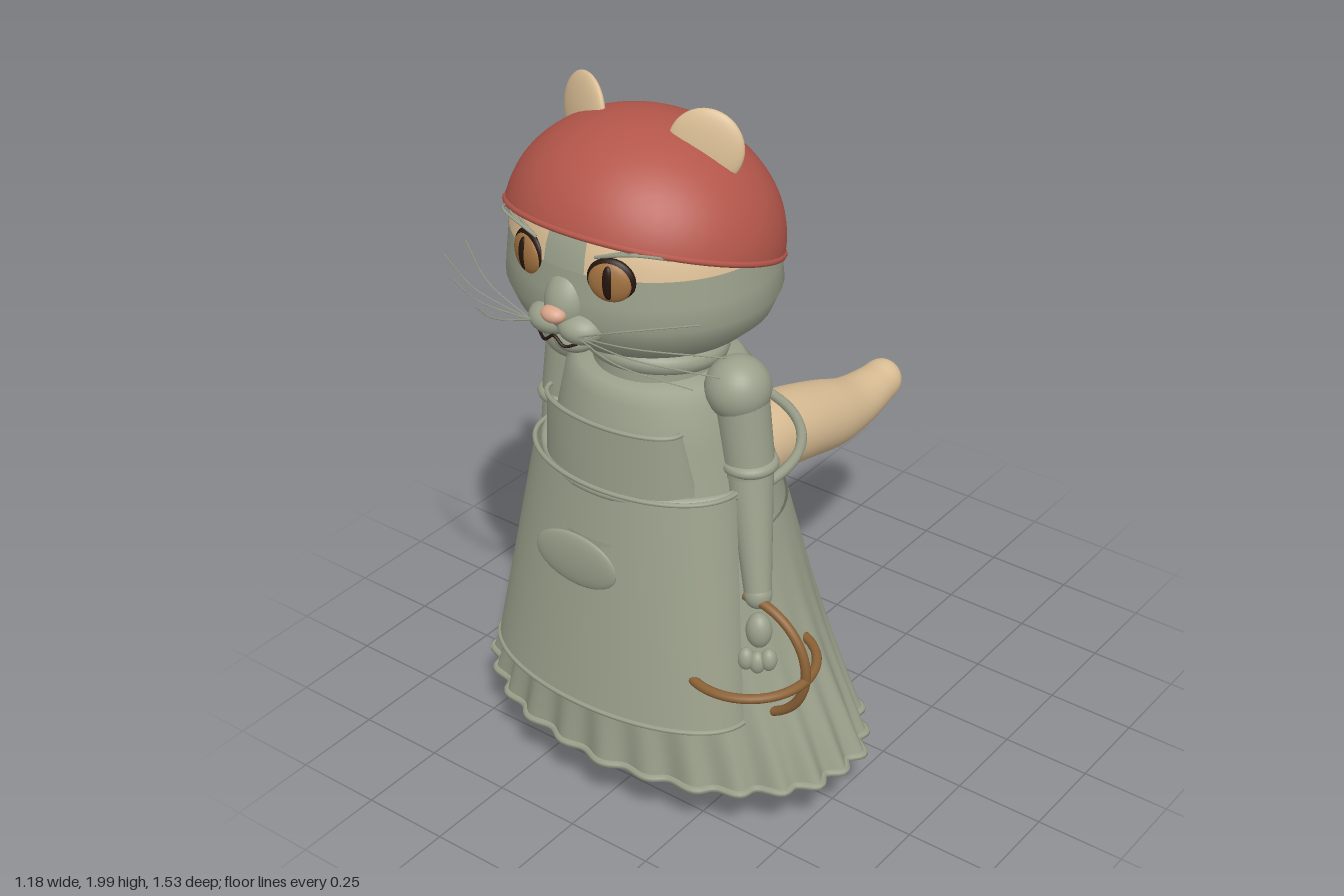
import * as THREE from 'three';
import { ParametricGeometry } from 'three/addons/geometries/ParametricGeometry.js';

const mat = (name, color, side = THREE.FrontSide) => {
  const m = new THREE.MeshStandardMaterial({ color, side });
  m.name = name;
  return m;
};
const V = (x, y, z) => new THREE.Vector3(x, y, z);

export function createModel() {
  const root = new THREE.Group();
  root.name = 'catInApron';
  const grey = mat('sageGrey', 0x9ba08b, THREE.DoubleSide);
  const tan = mat('tanFur', 0xd9bd94, THREE.DoubleSide);
  const red = mat('redCloth', 0xb4564a, THREE.DoubleSide);
  const brown = mat('wickerBrown', 0x8c6236, THREE.DoubleSide);
  const amber = mat('amberIris', 0xa0713f);
  const dark = mat('darkPupil', 0x24140e);
  const pink = mat('pinkNose', 0xd8a48a);

  const add = (name, geo, material, pos = [0, 0, 0], scale = [1, 1, 1], rot = [0, 0, 0]) => {
    const m = new THREE.Mesh(geo, material);
    m.name = name;
    m.position.set(...pos);
    m.scale.set(...scale);
    m.rotation.set(...rot);
    root.add(m);
    return m;
  };
  const ballGeo = new THREE.SphereGeometry(1, 32, 20);
  const ball = (name, material, pos, radii, rot) => add(name, ballGeo, material, pos, radii, rot);
  const tube = (name, material, pts, r, closed = false, seg = 32, sides = 8) =>
    add(name, new THREE.TubeGeometry(new THREE.CatmullRomCurve3(pts, closed), seg, r, sides, closed), material);
  // Tapered limb between two points
  const limb = (name, material, a, b, ra, rb) => {
    const m = add(name, new THREE.CylinderGeometry(rb, ra, a.distanceTo(b), 24), material);
    m.position.copy(a).add(b).multiplyScalar(0.5);
    m.quaternion.setFromUnitVectors(V(0, 1, 0), b.clone().sub(a).normalize());
    return m;
  };
  const lathe = (pts, start = 0, len = Math.PI * 2, seg = 48) =>
    new THREE.LatheGeometry(pts.map(p => new THREE.Vector2(...p)), seg, start, len);
  // Smooth curve through rows of numbers
  const rowSampler = rows => t => {
    const f = Math.min(Math.max(t, 0), 1) * (rows.length - 1);
    const i = Math.min(Math.floor(f), rows.length - 2), k = f - i;
    const q = j => rows[Math.min(Math.max(j, 0), rows.length - 1)];
    return rows[0].map((_, c) => {
      const [a, b, d, e] = [q(i - 1)[c], q(i)[c], q(i + 1)[c], q(i + 2)[c]];
      return b + 0.5 * k * (d - a + k * (2 * a - 5 * b + 4 * d - e + k * (3 * (b - d) + e - a)));
    });
  };

  // Head: lower half, then upper half split into fur patches
  const headPos = [0, 0, 0.39], headScale = [1, 1, 0.9];
  const lower = [[0, 1.335], [0.1, 1.35], [0.2, 1.385], [0.28, 1.425], [0.33, 1.47], [0.356, 1.53], [0.35, 1.59], [0.342, 1.66]];
  const upper = [[0.342, 1.66], [0.333, 1.7], [0.308, 1.76], [0.25, 1.82], [0.15, 1.88], [0, 1.91]];
  add('headLower', lathe(lower), grey, headPos, headScale);
  add('foreheadStripe', lathe(upper, -0.18, 0.36, 8), grey, headPos, headScale);
  add('headBack', lathe(upper, 1.4, 2 * Math.PI - 2.8), grey, headPos, headScale);
  for (const start of [0.18, -1.4]) add('foreheadPatch', lathe(upper, start, 1.22, 16), tan, headPos, headScale);

  // Bandana with rolled rim, knot and loose ends
  const tilt = [-0.335, 0, 0];
  add('bandana', new THREE.SphereGeometry(1, 48, 24, 0, Math.PI * 2, 0, Math.PI / 2), red, [0, 1.65, 0.385], [0.355, 0.295, 0.334], tilt);
  const rim = [];
  for (let i = 0; i < 32; i++) {
    const a = i / 32 * Math.PI * 2;
    rim.push(V(0.353 * Math.sin(a), 0, 0.332 * Math.cos(a)));
  }
  const rimMesh = tube('bandanaRim', red, rim, 0.008, true, 64);
  rimMesh.position.set(0, 1.65, 0.385);
  rimMesh.rotation.x = tilt[0];
  ball('bandanaKnot', red, [0, 1.535, 0.07], [0.035, 0.03, 0.03]);
  for (const s of [-1, 1]) {
    add('bandanaEnd', new THREE.ConeGeometry(0.035, 0.15, 16), red, [s * 0.035, 1.475, 0.055], [1, 1, 0.4], [Math.PI + 0.35, 0, s * 0.35]);
    ball('bandanaLoop', red, [s * 0.045, 1.545, 0.065], [0.035, 0.022, 0.018], [0, 0, s * 0.4]);
  }

  // Muzzle and nose
  ball('muzzleBridge', grey, [0, 1.575, 0.675], [0.06, 0.08, 0.06], [-0.4, 0, 0]);
  ball('chin', grey, [0, 1.46, 0.66], [0.055, 0.035, 0.05]);
  ball('noseTip', pink, [0, 1.555, 0.735], [0.034, 0.022, 0.027]);
  tube('mouthLine', dark, [V(-0.06, 1.487, 0.722), V(-0.03, 1.478, 0.737), V(0, 1.498, 0.738), V(0.03, 1.478, 0.737), V(0.06, 1.487, 0.722)], 0.004);

  for (const s of [-1, 1]) {
    ball('whiskerPad', grey, [s * 0.045, 1.515, 0.685], [0.062, 0.042, 0.058]);
    // Eyes
    const turn = [0, s * 0.32, 0];
    ball('eyeRim', dark, [s * 0.125, 1.655, 0.668], [0.062, 0.058, 0.02], turn);
    ball('iris', amber, [s * 0.126, 1.653, 0.674], [0.055, 0.052, 0.021], turn);
    ball('pupil', dark, [s * 0.128, 1.655, 0.684], [0.017, 0.044, 0.014], turn);
    for (let i = 0; i < 3; i++)
      tube('browHair', grey, [V(s * 0.09, 1.712, 0.685), V(s * (0.14 + i * 0.03), 1.73 + i * 0.007, 0.672), V(s * (0.19 + i * 0.03), 1.745 - i * 0.012, 0.645 - i * 0.02)], 0.004, false, 12, 5);
    // Whiskers
    for (const [x, y] of [[0.36, 1.6], [0.44, 1.54], [0.42, 1.48], [0.34, 1.42]])
      tube('whisker', grey, [V(s * 0.07, 1.515, 0.735), V(s * x * 0.55, 1.52 + (y - 1.5) * 0.5, 0.735), V(s * x, y, 0.64)], 0.0022, false, 16, 4);
    // Ears
    ball('ear', tan, [s * 0.185, 1.905, 0.38], [0.095, 0.095, 0.022], [-0.15, s * 0.37, 0]);
    ball('earFluff', grey, [s * 0.165, 1.875, 0.397], [0.045, 0.065, 0.014], [-0.15, s * 0.37, s * 0.3]);
  }

  // Neck, collar and bodice
  add('neck', new THREE.CylinderGeometry(0.16, 0.17, 0.16, 40), grey, [0, 1.32, 0.34]);
  add('collar', new THREE.TorusGeometry(0.155, 0.03, 12, 48), grey, [0, 1.315, 0.345], [1, 1, 1], [Math.PI / 2 - 0.12, 0, 0]);
  const bodice = [[0, 1.285], [0.15, 1.285], [0.22, 1.27], [0.25, 1.235], [0.275, 1.12], [0.3, 1.0], [0.332, 0.87]].reverse();
  add('bodice', lathe(bodice), grey, [0, 0, 0.335], [1, 1, 0.9]);

  // Gathered skirt: height, x radius, z radius, z centre
  const skirtRow = rowSampler([[0.87, 0.338, 0.308, 0.335], [0.75, 0.368, 0.32, 0.325], [0.6, 0.41, 0.332, 0.315],
    [0.45, 0.462, 0.342, 0.305], [0.3, 0.523, 0.354, 0.297], [0.18, 0.57, 0.366, 0.29]]);
  const skirtPoint = (u, t, p) => {
    const [y, rx, rz, zc] = skirtRow(t), a = u * Math.PI * 2;
    const fold = 1 + 0.026 * t * t * Math.sin(26 * a) + 0.008 * t * Math.sin(11 * a + 1);
    return p.set(rx * fold * Math.sin(a), y, zc + rz * fold * Math.cos(a));
  };
  add('skirt', new ParametricGeometry(skirtPoint, 260, 24), grey);
  const hem = [];
  for (let i = 0; i < 208; i++) hem.push(skirtPoint(i / 208, 1, V(0, 0, 0)));
  tube('skirtHem', grey, hem, 0.011, true, 312, 6);

  // Curved apron panels with bound edges
  const panel = (name, [yT, wT, eT, dT], [yB, wB, eB, dB]) => {
    const mix = THREE.MathUtils.lerp;
    const at = (u, t, p) => {
      const a = (u - 0.5) * Math.PI;
      return p.set(mix(wT, wB, t) * Math.sin(a), mix(yT, yB, t), mix(eT, eB, t) + mix(dT, dB, t) * Math.cos(a));
    };
    add(name, new ParametricGeometry(at, 40, 8), grey);
    for (const t of [0, 1]) {
      const edge = [];
      for (let i = 0; i <= 24; i++) edge.push(at(i / 24, t, V(0, 0, 0)));
      tube(name + 'Binding', grey, edge, 0.007, false, 48, 6);
    }
  };
  panel('apron', [1.01, 0.31, 0.43, 0.19], [0.39, 0.4, 0.52, 0.19]);
  panel('apronBib', [1.19, 0.21, 0.52, 0.09], [1.0, 0.235, 0.49, 0.125]);
  ball('apronPocket', grey, [0, 0.83, 0.69], [0.13, 0.077, 0.015]);
  add('waistBand', new THREE.TorusGeometry(0.335, 0.014, 10, 72), grey, [0, 1.0, 0.285], [1, 0.98, 1], [Math.PI / 2, 0, 0]);

  // Arms and paws
  for (const s of [-1, 1]) {
    ball('shoulder', grey, [s * 0.26, 1.265, 0.355], [0.085, 0.085, 0.085]);
    limb('upperArm', grey, V(s * 0.27, 1.25, 0.355), V(s * 0.3, 1.04, 0.36), 0.07, 0.066);
    add('cuff', new THREE.TorusGeometry(0.058, 0.017, 10, 32), grey, [s * 0.3, 1.067, 0.36], [1, 1, 1], [Math.PI / 2, 0, 0]);
    const wrist = s > 0 ? V(0.375, 0.73, 0.425) : V(-0.33, 0.73, 0.41);
    limb('forearm', grey, V(s * 0.298, 1.05, 0.36), wrist, 0.063, 0.035);
    ball('wrist', grey, wrist.toArray(), [0.037, 0.04, 0.037]);
    const out = s > 0 ? 0.4 : -0.33;
    ball('palm', grey, [out, 0.645, 0.455], [0.035, 0.05, 0.033]);
    for (let i = -1; i <= 1; i++) ball('finger', grey, [out + 0.01 + i * 0.025, 0.56 + Math.abs(i) * 0.01, 0.475 - i * 0.015], [0.022, 0.032, 0.022]);
  }

  // Basket: horizontal hoop, upright handle and bowl
  add('basketHoop', new THREE.TorusGeometry(0.172, 0.013, 10, 48), brown, [0.365, 0.535, 0.445], [1, 1, 1], [Math.PI / 2, 0, 0]);
  add('basketHandle', new THREE.TorusGeometry(0.172, 0.013, 10, 48, Math.PI), brown, [0.365, 0.55, 0.44], [1, 1, 1], [0, 0, -1.15]);
  add('basketBowl', lathe([[0, 0.3], [0.08, 0.3], [0.12, 0.5]]), brown, [0.26, 0, 0.4]);

  // Legs, feet and toes
  for (const s of [-1, 1]) {
    add('leg', new THREE.CylinderGeometry(0.06, 0.055, 0.5, 24), grey, [s * 0.157, 0.35, 0.285]);
    ball('foot', grey, [s * 0.158, 0.065, 0.34], [0.072, 0.06, 0.125]);
    for (let i = -1; i <= 1; i++) ball('toe', grey, [s * 0.158 + i * 0.038, 0.045, 0.455 - Math.abs(i) * 0.01], [0.025, 0.03, 0.035]);
  }

  // Tail: z, y centre, half width, half height
  const tailRow = rowSampler([[0.08, 0.81, 0.108, 0.105], [-0.08, 0.808, 0.112, 0.112], [-0.24, 0.775, 0.114, 0.112],
    [-0.4, 0.73, 0.105, 0.105], [-0.54, 0.7, 0.085, 0.08], [-0.66, 0.698, 0.068, 0.063], [-0.73, 0.705, 0.055, 0.053], [-0.77, 0.708, 0.004, 0.004]]);
  add('tail', new ParametricGeometry((u, t, p) => {
    const [z, y, w, h] = tailRow(t), a = u * Math.PI * 2;
    p.set(w * Math.cos(a), y + h * Math.sin(a), z);
  }, 32, 42), tan);

  return root;
}
